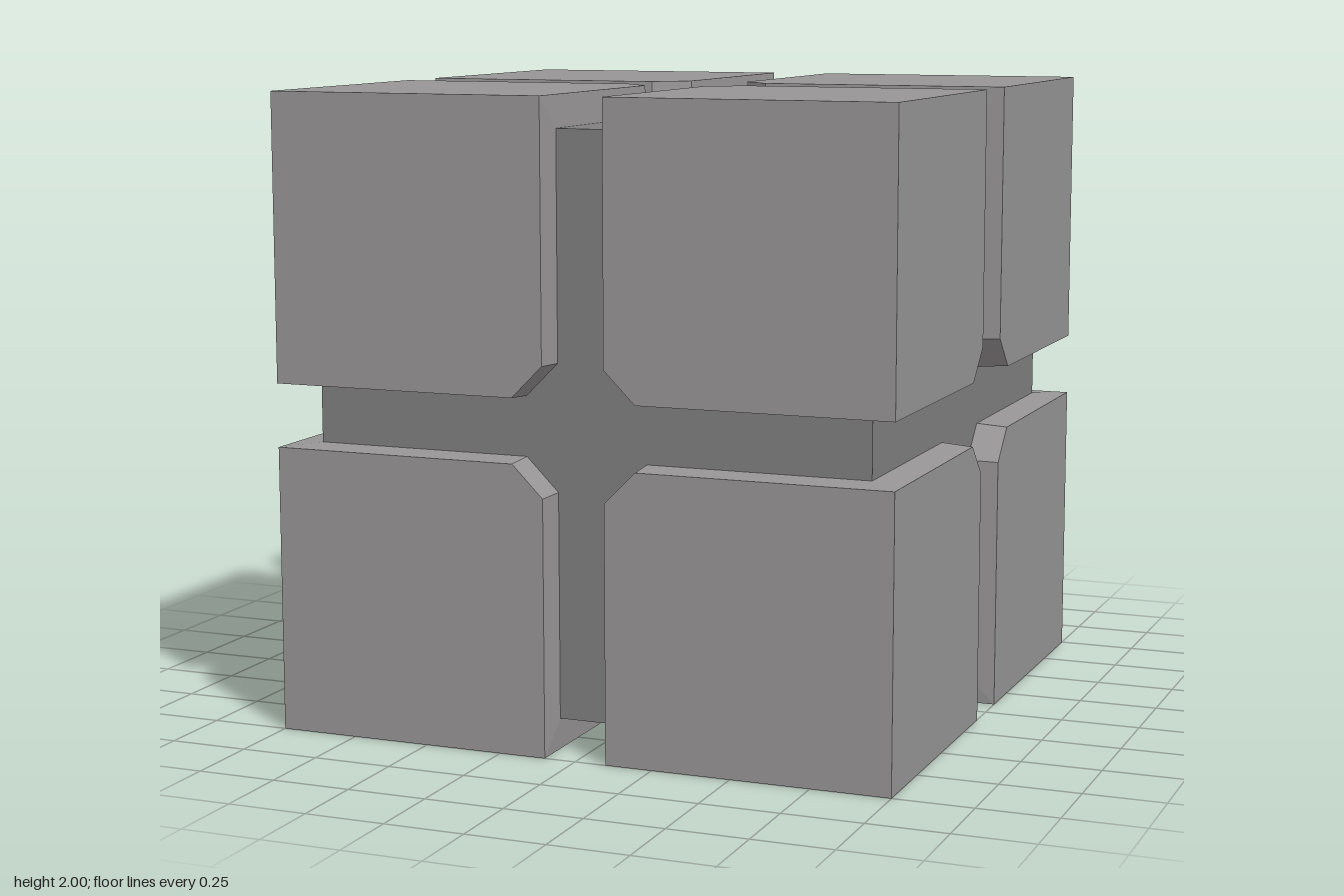
import * as THREE from 'three';

// Pad outline on one face of a corner block: [a, b] on the outer face and at the groove floor
const OUTER = [[1, 0.1], [0.2, 0.1], [0.1, 0.2], [0.1, 1]];
const FLOOR = [[0.9, 0.093], [0.197, 0.093], [0.093, 0.197], [0.093, 0.9]];

// One corner block: three chamfered pads meeting at a cube corner, with drafted groove walls
function cornerBlockGeometry(sx, sy, sz) {
  const positions = [];
  const flip = sx * sy * sz < 0;

  for (let axis = 0; axis < 3; axis++) {
    // Cyclic axis change carries the same pad onto each of the three faces
    const place = ([a, b], c) => {
      const p = [0, 0, 0];
      p[axis] = a;
      p[(axis + 1) % 3] = b;
      p[(axis + 2) % 3] = c;
      return [p[0] * sx, p[1] * sy, p[2] * sz];
    };
    const polygon = (points) => {
      const ring = flip ? [...points].reverse() : points;
      for (let i = 1; i < ring.length - 1; i++) {
        positions.push(...ring[0], ...ring[i], ...ring[i + 1]);
      }
    };
    const top = OUTER.map((p) => place(p, 1));
    const floor = FLOOR.map((p) => place(p, 0.9));

    // Outer face
    polygon([top[1], top[0], place([1, 1], 1), top[3], top[2]]);
    // Groove walls and chamfer
    for (let i = 0; i < 3; i++) polygon([floor[i + 1], floor[i], top[i], top[i + 1]]);
  }

  const geometry = new THREE.BufferGeometry();
  geometry.setAttribute('position', new THREE.Float32BufferAttribute(positions, 3));
  geometry.computeVertexNormals();
  return geometry;
}

export function createModel() {
  const model = new THREE.Group();
  model.name = 'groovedCube';
  const blockMaterial = new THREE.MeshStandardMaterial({ color: 0x979595, flatShading: true });
  const coreMaterial = new THREE.MeshStandardMaterial({ color: 0x7f7f7f, flatShading: true });

  // Darker inner cube forming the groove floors
  const core = new THREE.Mesh(new THREE.BoxGeometry(1.8, 1.8, 1.8), coreMaterial);
  core.name = 'core';
  core.position.y = 1;
  model.add(core);

  // Eight corner blocks
  for (const sx of [-1, 1]) {
    for (const sy of [-1, 1]) {
      for (const sz of [-1, 1]) {
        const block = new THREE.Mesh(cornerBlockGeometry(sx, sy, sz), blockMaterial);
        block.name = `cornerBlock${sy > 0 ? 'Top' : 'Bottom'}${sz > 0 ? 'Front' : 'Back'}${sx > 0 ? 'Left' : 'Right'}`;
        block.position.y = 1;
        model.add(block);
      }
    }
  }
  return model;
}
